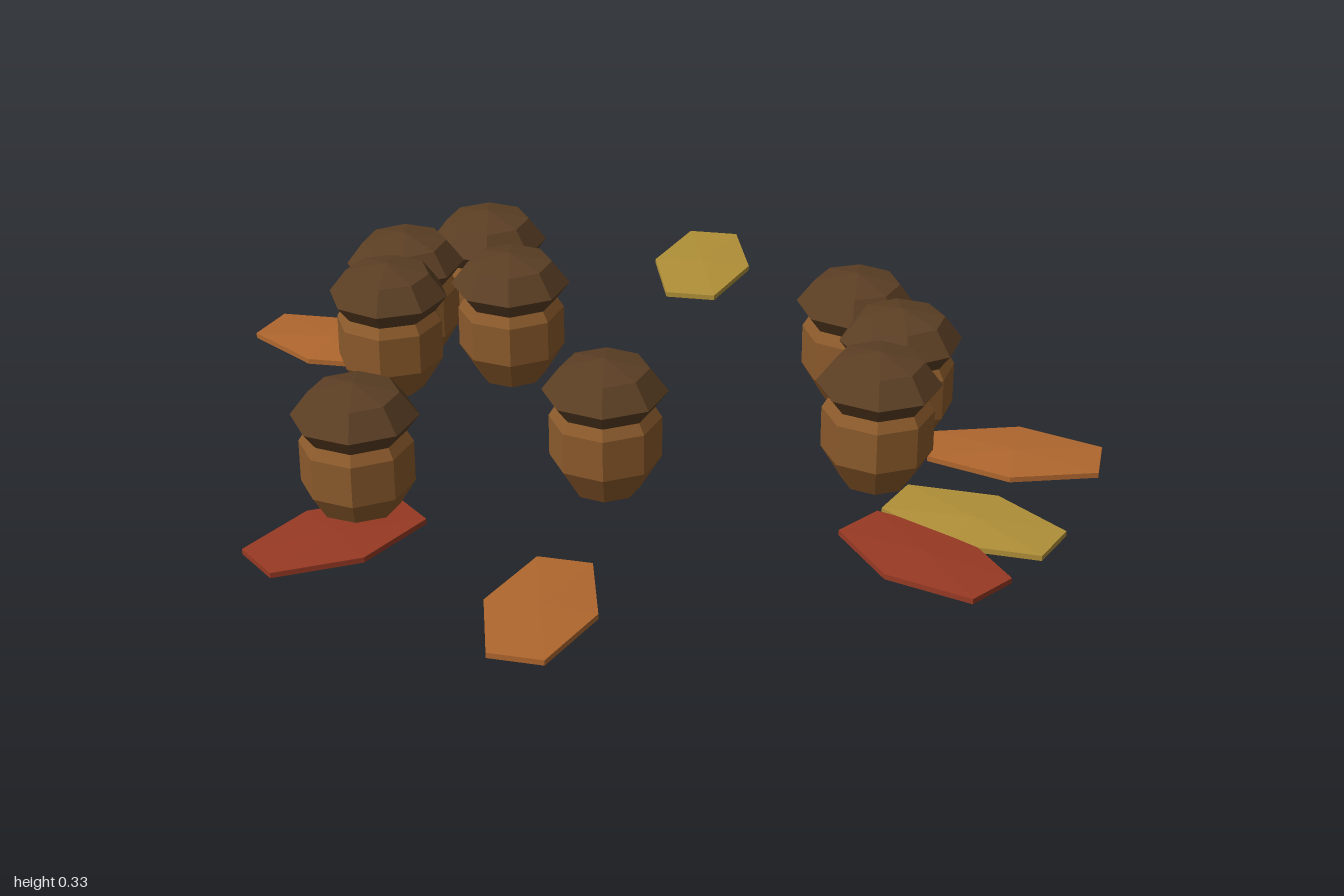
import * as THREE from 'three';

const flat = (name, color) =>
  Object.assign(new THREE.MeshStandardMaterial({ color, flatShading: true }), { name });

export function createModel() {
  const model = new THREE.Group();
  model.name = 'acornsAndLeaves';

  const nutBrown = flat('nutBrown', 0x8b5a2b);
  const capBrown = flat('capBrown', 0x5c3f24);
  const orange = flat('leafOrange', 0xb0672e);
  const yellow = flat('leafYellow', 0xb09038);
  const red = flat('leafRed', 0x983a24);

  // Low-poly nut, flattened cap, and leaf with a thin upright rim
  const nutGeo = new THREE.SphereGeometry(1, 8, 5).scale(0.126, 0.15, 0.126);
  const capGeo = new THREE.SphereGeometry(1, 8, 4).scale(0.134, 0.074, 0.134);
  const leafGeo = new THREE.SphereGeometry(1, 6, 3).scale(0.135, 0.012, 0.245);

  const add = (parent, name, geo, mat, y) => {
    const mesh = new THREE.Mesh(geo, mat);
    mesh.name = name;
    mesh.position.y = y;
    parent.add(mesh);
    return mesh;
  };

  // Acorns: x, z, turn
  const acorns = [
    [-0.42, -0.47, 0.06], [-0.6, -0.34, 0.1], [-0.35, -0.235, 0.05],
    [-0.62, -0.17, -0.08], [0.43, -0.15, -0.1], [0.52, 0.025, 0.08],
    [0.465, 0.235, -0.05], [-0.11, 0.285, 0], [-0.62, 0.41, 0.03],
  ];
  for (const [x, z, turn] of acorns) {
    const acorn = new THREE.Group();
    acorn.name = 'acorn';
    acorn.position.set(x, 0, z);
    acorn.rotation.y = turn;
    add(acorn, 'nut', nutGeo, nutBrown, 0.157);
    add(acorn, 'cap', capGeo, capBrown, 0.265);
    model.add(acorn);
  }

  // Fallen leaves: x, z, turn, colour
  const leaves = [
    [0.075, -0.813, -0.14, yellow], [0.66, 0.435, 1.04, yellow],
    [-0.213, 0.803, -0.2, orange], [0.77, 0.14, 1.4, orange],
    [-0.775, -0.36, 1.13, orange],
    [0.55, 0.577, 0.78, red], [-0.655, 0.535, -0.91, red],
  ];
  for (const [x, z, turn, mat] of leaves) {
    const leaf = add(model, 'leaf', leafGeo, mat, 0.047);
    leaf.position.x = x;
    leaf.position.z = z;
    leaf.rotation.y = turn;
  }

  return model;
}
